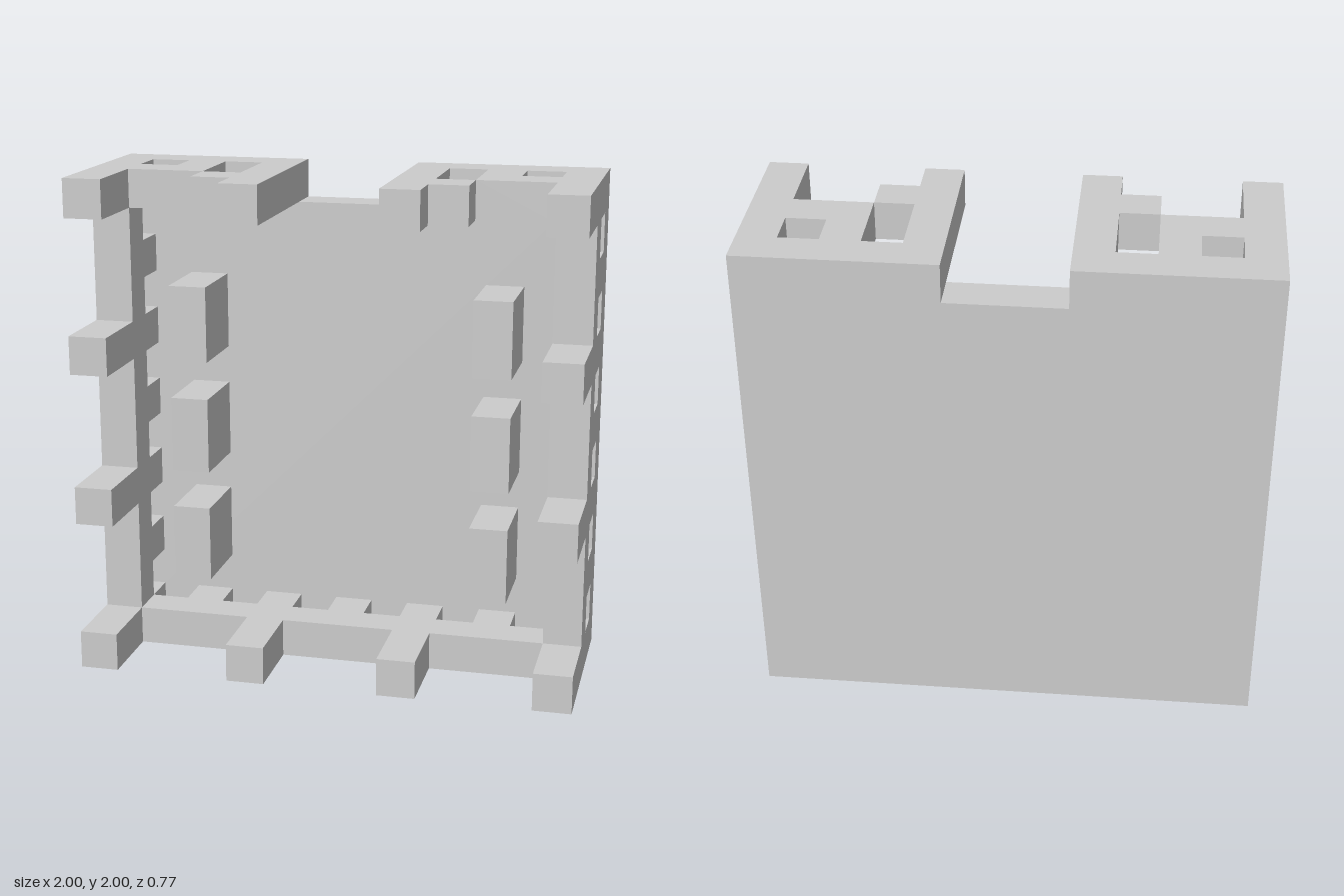
import * as THREE from 'three';

const U = 2 / 13; // the model sits on a 13 x 13 x 5 grid of cubes

// Depth range of one column of a comb: teeth reach back to the plate on even
// columns, fingers reach forward on every fourth one.
const toothRange = i => [i % 2 === 0 ? -1.5 : -0.5, i % 4 === 0 ? 2.5 : 0.5];

// Slab of thickness 1, running along x from column `from` to column `to`
function combGeometry(from, to) {
  const front = [], back = [];
  for (let i = from; i < to; i++) {
    const [b, f] = toothRange(i);
    for (const [list, d] of [[front, f], [back, b]]) {
      const last = list[list.length - 1];
      if (last && last.y === d) last.x = i + 1; // same level: extend the step
      else list.push(new THREE.Vector2(i, d), new THREE.Vector2(i + 1, d));
    }
  }
  const shape = new THREE.Shape([...back, ...front.reverse()]);
  return new THREE.ExtrudeGeometry(shape, { depth: 1, bevelEnabled: false })
    .rotateX(Math.PI / 2)
    .translate(0, 1, 0);
}

export function createModel() {
  const model = new THREE.Group();
  model.name = 'combCase';
  const body = new THREE.Group();
  body.name = 'body';
  body.scale.setScalar(U);
  model.add(body);
  const material = new THREE.MeshStandardMaterial({ color: 0xcccccc, flatShading: true });

  function add(name, geometry, x, y, z) {
    const mesh = new THREE.Mesh(geometry, material);
    mesh.name = name;
    mesh.position.set(x, y, z);
    body.add(mesh);
    return mesh;
  }

  // Back plate with a notch in the top edge
  const outline = [[-6.5, 0], [6.5, 0], [6.5, 13], [1.5, 13], [1.5, 12], [-1.5, 12], [-1.5, 13], [-6.5, 13]];
  const plate = new THREE.Shape(outline.map(([x, y]) => new THREE.Vector2(x, y)));
  add('backPlate', new THREE.ExtrudeGeometry(plate, { depth: 1, bevelEnabled: false }), 0, 0, -2.5);

  // Floor with six holes and four fingers
  add('floor', combGeometry(0, 13), -6.5, 0, 0);

  // Side walls: the same comb stood upright between floor and top
  for (const [name, x] of [['leftWall', 6.5], ['rightWall', -5.5]]) {
    add(name, combGeometry(1, 12), x, 0, 0).rotation.z = Math.PI / 2;
  }

  // Top corners, and the finger beside the notch
  add('rightTop', combGeometry(0, 3), -6.5, 12, 0);
  add('leftTop', combGeometry(10, 13), -6.5, 12, 0);
  add('rightTopFinger', combGeometry(4, 5), -6.5, 12, 0);
  add('leftTopFinger', combGeometry(8, 9), -6.5, 12, 0);

  for (const [side, s] of [['left', 1], ['right', -1]]) {
    // Small tab on the outer side of the top finger
    add(side + 'TopTab', new THREE.BoxGeometry(1, 1, 1), s * 3, 12.5, 1);
    // Blocks standing out from the back plate
    for (const y of [3, 6, 9]) add(side + 'Block', new THREE.BoxGeometry(1, 2, 2), s * 4, y, -0.5);
  }
  return model;
}
